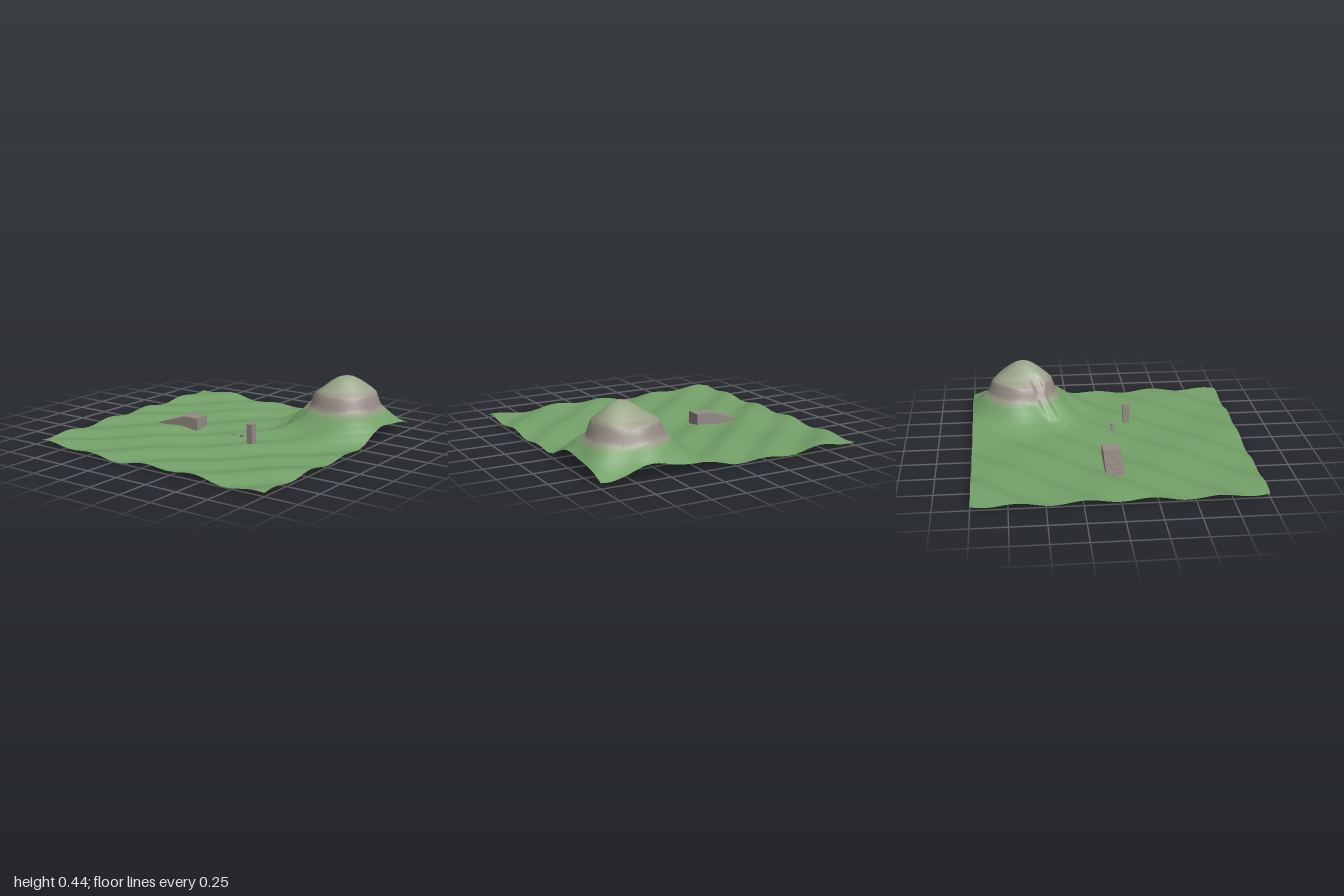
import * as THREE from 'three';

const mat = (name, color, side = THREE.FrontSide) => {
  const m = new THREE.MeshStandardMaterial({ color, side });
  m.name = name;
  return m;
};

// Hill cross-section: [radius, height above the meadow]
const PROFILE = [
  [0, 0.403], [0.05, 0.396], [0.1, 0.373], [0.15, 0.342], [0.2, 0.308], [0.232, 0.282],
  [0.245, 0.245], [0.262, 0.19], [0.285, 0.168], [0.32, 0.138], [0.37, 0.096],
  [0.42, 0.062], [0.5, 0.026], [0.58, 0.008], [0.7, 0], [9, 0],
];
const HILL = { x: 0.63, z: -0.61 };
const RAMP_DIR = new THREE.Vector2(-0.82, 0.57).normalize();

function profileAt(r) {
  const i = PROFILE.findIndex((p) => p[0] >= r);
  if (i <= 0) return PROFILE[0][1];
  const [r0, h0] = PROFILE[i - 1];
  const [r1, h1] = PROFILE[i];
  return THREE.MathUtils.lerp(h0, h1, (r - r0) / (r1 - r0));
}

function groundHeight(x, z) {
  const waves = 0.031 + 0.013 * Math.sin(6 * x) * Math.cos(6 * z) + 0.012 * Math.sin(14 * (x + z));
  const dx = x - HILL.x;
  const dz = z - HILL.z;
  let hill = profileAt(Math.hypot(dx, dz));
  // Path that climbs straight through the cliff
  const along = dx * RAMP_DIR.x + dz * RAMP_DIR.y;
  const across = Math.abs(dx * RAMP_DIR.y - dz * RAMP_DIR.x);
  if (along > 0.13 && along < 0.42) {
    const path = THREE.MathUtils.mapLinear(along, 0.13, 0.42, 0.354, 0.062);
    const blend = 1 - THREE.MathUtils.smoothstep(across, 0.02, 0.055);
    hill = THREE.MathUtils.lerp(hill, path, blend);
  }
  return waves + hill;
}

// Terrain sheet, its triangles sorted into colour bands by height
function makeTerrain() {
  const D = THREE.DoubleSide;
  const bands = [
    [0.185, mat('grass', 0x73a068, D)],
    [0.2, mat('dry grass', 0x869b76, D)],
    [0.222, mat('pale rock', 0x91967f, D)],
    [0.315, mat('cliff rock', 0x968c84, D)],
    [0.345, mat('mossy rock', 0x989884, D)],
    [0.395, mat('sage cap', 0x98a287, D)],
    [9, mat('summit moss', 0x97a688, D)],
  ];
  const geo = new THREE.PlaneGeometry(2, 2, 180, 180).rotateX(-Math.PI / 2);
  const pos = geo.attributes.position;
  for (let i = 0; i < pos.count; i++) pos.setY(i, groundHeight(pos.getX(i), pos.getZ(i)));
  geo.computeVertexNormals();

  const lists = bands.map(() => []);
  const idx = geo.index.array;
  for (let i = 0; i < idx.length; i += 3) {
    const tri = [idx[i], idx[i + 1], idx[i + 2]];
    const y = tri.reduce((sum, v) => sum + pos.getY(v), 0) / 3;
    lists[bands.findIndex((b) => y < b[0])].push(...tri);
  }
  geo.setIndex(lists.flat());
  let start = 0;
  lists.forEach((list, i) => {
    geo.addGroup(start, list.length, i);
    start += list.length;
  });
  const mesh = new THREE.Mesh(geo, bands.map((b) => b[1]));
  mesh.name = 'terrain';
  return mesh;
}

export function createModel() {
  const model = new THREE.Group();
  model.name = 'hillLandscape';
  model.add(makeTerrain());

  const stone = mat('stone', 0x938b84);

  // Box given by its limits on each axis
  const block = (name, x0, x1, y0, y1, z0, z1) => {
    const mesh = new THREE.Mesh(new THREE.BoxGeometry(x1 - x0, y1 - y0, z1 - z0), stone);
    mesh.position.set((x0 + x1) / 2, (y0 + y1) / 2, (z0 + z1) / 2);
    mesh.name = name;
    model.add(mesh);
  };

  // Platform with a long flight of shallow steps
  const STEPS = 12;
  const shape = new THREE.Shape();
  shape.moveTo(-0.255, 0.02);
  shape.lineTo(-0.255, 0.112);
  shape.lineTo(-0.385, 0.112);
  for (let i = 1; i <= STEPS; i++) {
    const x = THREE.MathUtils.lerp(-0.385, -0.63, (i - 1) / STEPS);
    const y = THREE.MathUtils.lerp(0.112, 0.03, i / STEPS);
    shape.lineTo(x, y);
    shape.lineTo(x - 0.245 / STEPS, y);
  }
  shape.lineTo(-0.63, 0.02);
  const stairs = new THREE.Mesh(
    new THREE.ExtrudeGeometry(shape, { depth: 0.125, bevelEnabled: false }), stone);
  stairs.position.z = -0.065;
  stairs.name = 'steppedPlatform';
  model.add(stairs);

  // Standing pillar and three stepping stones
  block('pillar', 0.297, 0.345, 0.03, 0.188, 0.148, 0.197);
  [[0.088, 0.052], [0.162, 0.058], [0.237, 0.065]].forEach(([x, top]) =>
    block('steppingStone', x - 0.012, x + 0.012, 0.022, top, 0.047, 0.071));

  return model;
}
